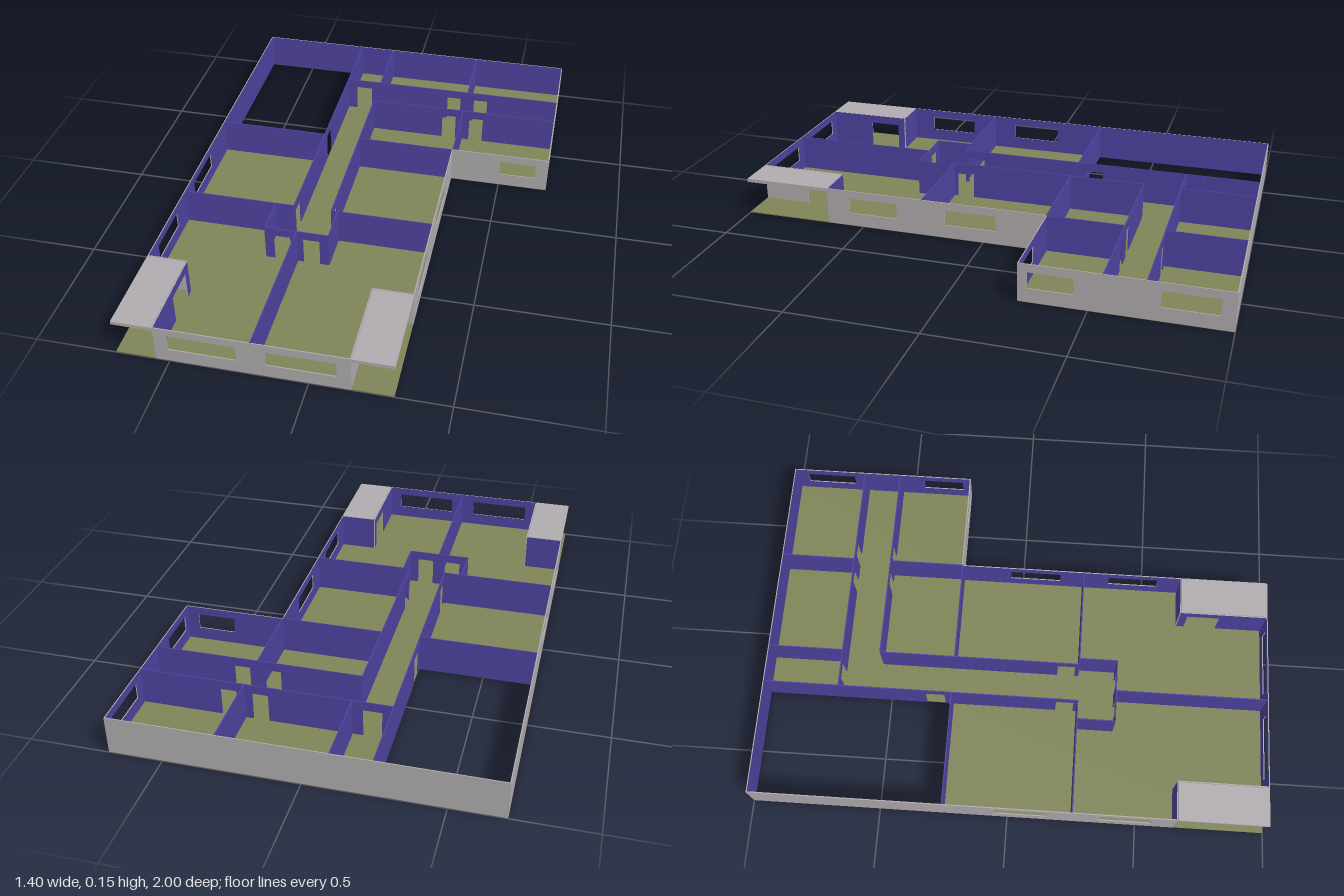
import * as THREE from 'three';

const H = 0.15, BASE = 0.002, DOOR = 0.115, SILL = 0.055, HEAD = 0.118;
const T = 0.004, EDGE = 0.001;

export function createModel() {
  const house = new THREE.Group();
  house.name = 'floorPlanHouse';

  const material = (name, color) => {
    const m = new THREE.MeshStandardMaterial({ color });
    m.name = name;
    return m;
  };
  const grey = material('outerGrey', 0xb1acaf);
  const purple = material('innerPurple', 0x4e43a0);
  const olive = material('floorOlive', 0x7f8458);
  const dark = material('undersideDark', 0x1e0404);

  // Thin panel with its own colour on the front, back and rim
  function panel(name, shape, front, back, rim) {
    const g = new THREE.ExtrudeGeometry(shape, { depth: T, bevelEnabled: false });
    const [lids, sides] = g.groups;
    const half = lids.count / 2;
    g.clearGroups();
    g.addGroup(0, half, 0);
    g.addGroup(half, half, 1);
    g.addGroup(sides.start, sides.count, 2);
    const mesh = new THREE.Mesh(g, [back, front, rim]);
    mesh.name = name;
    house.add(mesh);
    return mesh;
  }

  // Wall from [x, z] to [x, z]; openings are ranges along its world axis
  function wall(name, [x0, z0], [x1, z1], { doors = [], windows = [], outside } = {}) {
    const start = z0 === z1 ? x0 : z0;
    const length = Math.hypot(x1 - x0, z1 - z0);
    const inset = outside ? 0 : EDGE;
    const local = list => list
      .map(r => r.map(v => Math.abs(v - start)).sort((p, q) => p - q))
      .sort((p, q) => p[0] - q[0]);
    const shape = new THREE.Shape();
    shape.moveTo(inset, BASE);
    for (const [p, q] of local(doors)) {
      shape.lineTo(p, BASE);
      shape.lineTo(p, DOOR);
      shape.lineTo(q, DOOR);
      shape.lineTo(q, BASE);
    }
    shape.lineTo(length - inset, BASE);
    shape.lineTo(length - inset, H);
    shape.lineTo(inset, H);
    for (const [p, q] of local(windows)) {
      shape.holes.push(new THREE.Path([[p, SILL], [p, HEAD], [q, HEAD], [q, SILL]]
        .map(v => new THREE.Vector2(...v))));
    }
    const face = outside ?? purple;
    const w = panel(name, shape, face, purple, face);
    w.geometry.translate(0, 0, outside ? -T : -T / 2);
    w.position.set(x0, 0, z0);
    w.rotation.y = Math.atan2(z0 - z1, x1 - x0);
  }

  // Floor, leaving the back courtyard open; its rim stays just inside the walls
  const R = 0.3 - EDGE, W = 0.7 - EDGE, B = 1 - EDGE, C = -0.25 - EDGE;
  const plan = [[-W, B], [R, B], [R, C], [W, C], [W, -B],
    [-0.25 + EDGE, -B], [-0.25 + EDGE, -0.25 + EDGE], [-W, -0.25 + EDGE]];
  const floor = panel('floor',
    new THREE.Shape(plan.map(([x, z]) => new THREE.Vector2(x, -z))), olive, dark, olive);
  floor.rotation.x = -Math.PI / 2;

  // Porch roof slabs, level with the wall tops
  for (const [name, x] of [['rightPorchRoof', -0.626], ['leftPorchRoof', 0.226]]) {
    const roof = new THREE.Mesh(new THREE.BoxGeometry(0.148, 0.014, 0.348),
      [grey, grey, grey, dark, grey, grey]);
    roof.name = name;
    roof.position.set(x, H - 0.007, 0.826);
    house.add(roof);
  }

  // Outer walls, running counterclockwise seen from above
  const porchDoor = [[0.68, 0.81]];
  const sideWindows = [[-0.05, 0.155], [0.355, 0.555]];
  const outer = (name, a, b, openings) => wall(name, a, b, { ...openings, outside: grey });
  outer('frontWall', [-0.55, 1], [0.15, 1], { windows: [[-0.5, -0.253], [-0.15, 0.1]] });
  outer('leftPorchSideWall', [0.15, 1], [0.15, 0.65], { doors: porchDoor });
  outer('leftPorchBackWall', [0.15, 0.65], [0.3, 0.65]);
  outer('leftWall', [0.3, 0.65], [0.3, -0.25], { windows: sideWindows });
  outer('wingFrontWall', [0.3, -0.25], [0.7, -0.25], { windows: [[0.5, 0.65]] });
  outer('wingSideWall', [0.7, -0.25], [0.7, -1], { windows: [[-0.45, -0.285], [-0.95, -0.75]] });
  outer('backWall', [0.7, -1], [-0.7, -1]);
  outer('rightWall', [-0.7, -1], [-0.7, 0.65], { windows: sideWindows });
  outer('rightPorchBackWall', [-0.7, 0.65], [-0.55, 0.65]);
  outer('rightPorchSideWall', [-0.55, 0.65], [-0.55, 1], { doors: porchDoor });

  // Corridor walls
  const roomDoor = [0.165, 0.235];
  wall('corridorRightWall', [-0.25, -1], [-0.25, 0.25], { doors: [[-0.355, -0.28], roomDoor] });
  wall('corridorLeftWall', [-0.1, -0.55], [-0.1, 0.25], { doors: [roomDoor] });

  // Middle room walls
  wall('courtyardWall', [-0.7, -0.25], [-0.25, -0.25]);
  wall('middleRoomBackWall', [-0.1, -0.25], [0.3, -0.25]);
  wall('rightRoomFrontWall', [-0.7, 0.25], [-0.25, 0.25]);
  wall('leftRoomFrontWall', [-0.1, 0.25], [0.3, 0.25]);

  // Lobby and front room divider
  wall('lobbyRightWall', [-0.325, 0.25], [-0.325, 0.4]);
  wall('lobbyLeftWall', [-0.075, 0.25], [-0.075, 0.4]);
  wall('lobbyFrontWall', [-0.325, 0.4], [-0.075, 0.4], { doors: [[-0.29, -0.225], [-0.175, -0.11]] });
  wall('frontRoomDivider', [-0.2, 0.4], [-0.2, 1]);

  // Back wing rooms
  wall('wingHallBackWall', [-0.25, -0.7], [0.7, -0.7],
    { doors: [[-0.21, -0.14], [0.21, 0.27], [0.33, 0.39]] });
  wall('wingHallFrontWall', [-0.1, -0.55], [0.7, -0.55], { doors: [[0.21, 0.27], [0.33, 0.39]] });
  wall('wingFrontDivider', [0.3, -0.55], [0.3, -0.25]);
  for (const x of [-0.1, 0.3]) wall('wingBackDivider', [x, -1], [x, -0.7]);

  return house;
}
